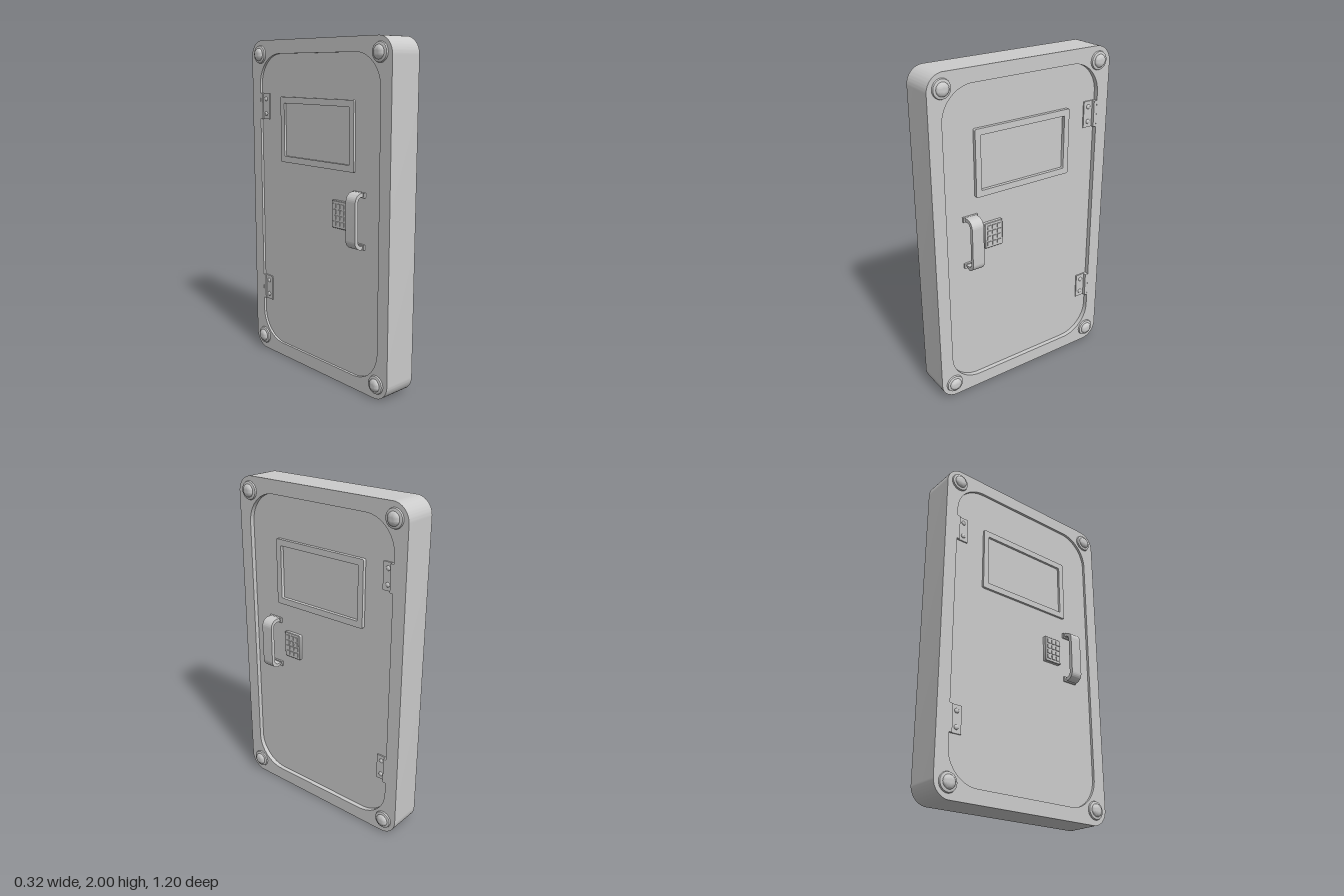
import * as THREE from 'three';
import { toCreasedNormals } from 'three/addons/utils/BufferGeometryUtils.js';

const material = new THREE.MeshStandardMaterial({ color: 0xcccccc });

function add(parent, name, geometry, x = 0, y = 0, z = 0) {
  const mesh = new THREE.Mesh(geometry, material);
  mesh.name = name;
  mesh.position.set(x, y, z);
  parent.add(mesh);
  return mesh;
}

// Rounded rectangle outline, centred on the origin
function roundedRect(w, h, r, Type = THREE.Shape) {
  const p = new Type(), a = w / 2 - r, b = h / 2 - r, q = Math.PI / 2;
  p.absarc(a, b, r, 0, q, false);
  p.absarc(-a, b, r, q, 2 * q, false);
  p.absarc(-a, -b, r, 2 * q, 3 * q, false);
  p.absarc(a, -b, r, 3 * q, 4 * q, false);
  p.closePath();
  return p;
}

function extrude(shape, depth, bevel = 0) {
  const geometry = new THREE.ExtrudeGeometry(shape, {
    depth: depth - bevel, curveSegments: 12, bevelEnabled: bevel > 0,
    bevelSize: bevel, bevelOffset: -bevel, bevelThickness: bevel, bevelSegments: 1,
  });
  return toCreasedNormals(geometry, 0.5);
}

// Corner bolt: sloped washer with a domed head, pointing along +z
function boltGeometry() {
  const points = [[0.055, 0], [0.052, 0.009], [0.039, 0.013]];
  for (let i = 0; i <= 6; i++) {
    const a = (i / 6) * Math.PI / 2;
    points.push([0.038 * Math.cos(a), 0.013 + 0.018 * Math.sin(a)]);
  }
  const profile = points.map(([r, y]) => new THREE.Vector2(Math.max(r, 0), y));
  return toCreasedNormals(new THREE.LatheGeometry(profile, 28).rotateX(Math.PI / 2), 0.5);
}

// Flat strap bent into a U; its legs start at the door skin and reach outward along +z
function handleGeometry(reach) {
  const H = 0.16, t = 0.022, R = 0.05, r = R - t, q = Math.PI / 2;
  const s = new THREE.Shape();
  s.moveTo(0, -H);
  s.absarc(reach - R, -H + R, R, -q, 0, false);
  s.absarc(reach - R, H - R, R, 0, q, false);
  s.lineTo(0, H);
  s.lineTo(0, H - t);
  s.absarc(reach - R, H - R, r, q, 0, true);
  s.absarc(reach - R, -H + R, r, 0, -q, true);
  s.lineTo(0, -H + t);
  s.closePath();
  return extrude(s, 0.075).translate(0, 0, -0.0375).rotateY(-Math.PI / 2);
}

// All fittings of one face. Local z points out of the door; m mirrors the layout.
function doorFace(name, m, surface, door) {
  const face = new THREE.Group();
  face.name = name;
  face.rotation.y = m * Math.PI / 2;
  const recess = surface - door;

  for (const x of [-0.515, 0.515])
    for (const y of [0.087, 1.915]) add(face, 'cornerBolt', boltGeometry(), x, y, surface);

  // Window surround
  const surround = roundedRect(0.64, 0.395, 0.008);
  surround.holes.push(roundedRect(0.57, 0.32, 0.004, THREE.Path));
  add(face, 'windowFrame', extrude(surround, Math.min(recess, 0.022) - 0.001), 0, 1.466, door);

  // Pull handle with its foot plates
  add(face, 'handle', handleGeometry(0.16 - door), -0.357 * m, 1.005, door);
  for (const y of [0.859, 1.151])
    add(face, 'handleFoot', new THREE.BoxGeometry(0.095, 0.03, 0.012), -0.357 * m, y, door + 0.006);

  // Keypad
  const pad = new THREE.Group();
  pad.name = 'keypad';
  pad.position.set(-0.21 * m, 1.015, door);
  face.add(pad);
  add(pad, 'keypadPlate', extrude(roundedRect(0.12, 0.16, 0.005), 0.021, 0.003));
  for (let row = 0; row < 4; row++)
    for (let col = 0; col < 3; col++)
      add(pad, 'key', new THREE.BoxGeometry(0.024, 0.024, 0.008),
        (col - 1) * 0.033, (row - 1.5) * 0.034, 0.022);

  // Hinges: thin riveted leaf and a knuckle flush with the surrounding frame
  for (const y of [0.427, 1.6]) {
    const hinge = new THREE.Group();
    hinge.name = 'hinge';
    hinge.position.set(0, y, door);
    face.add(hinge);
    add(hinge, 'hingeLeaf', new THREE.BoxGeometry(0.08, 0.158, 0.008), 0.48 * m, 0, 0.004);
    add(hinge, 'hingeKnuckle', new THREE.BoxGeometry(0.022, 0.158, recess), 0.511 * m, 0, recess / 2 - 0.0005);
    for (const dy of [-0.045, 0.045]) {
      const rivet = new THREE.SphereGeometry(0.014, 14, 6, 0, Math.PI * 2, 0, Math.PI / 2);
      rivet.scale(1, 0.6, 1).rotateX(Math.PI / 2);
      add(hinge, 'hingeRivet', rivet, 0.472 * m, dy, 0.008);
    }
  }
  return face;
}

export function createModel() {
  const model = new THREE.Group();
  model.name = 'securityDoor';

  // Outer frame with rounded opening, and the door leaf set back inside it
  const body = new THREE.Group();
  body.name = 'doorBody';
  body.rotation.y = Math.PI / 2;
  model.add(body);
  const outline = roundedRect(1.2, 2, 0.1);
  outline.holes.push(roundedRect(1.04, 1.836, 0.19, THREE.Path));
  add(body, 'frame', extrude(outline, 0.206), 0, 1, -0.105);
  add(body, 'doorLeaf', extrude(roundedRect(1.044, 1.84, 0.19), 0.163), 0, 1, -0.09);

  model.add(doorFace('leftFace', 1, 0.101, 0.073));
  model.add(doorFace('rightFace', -1, 0.105, 0.09));
  return model;
}
